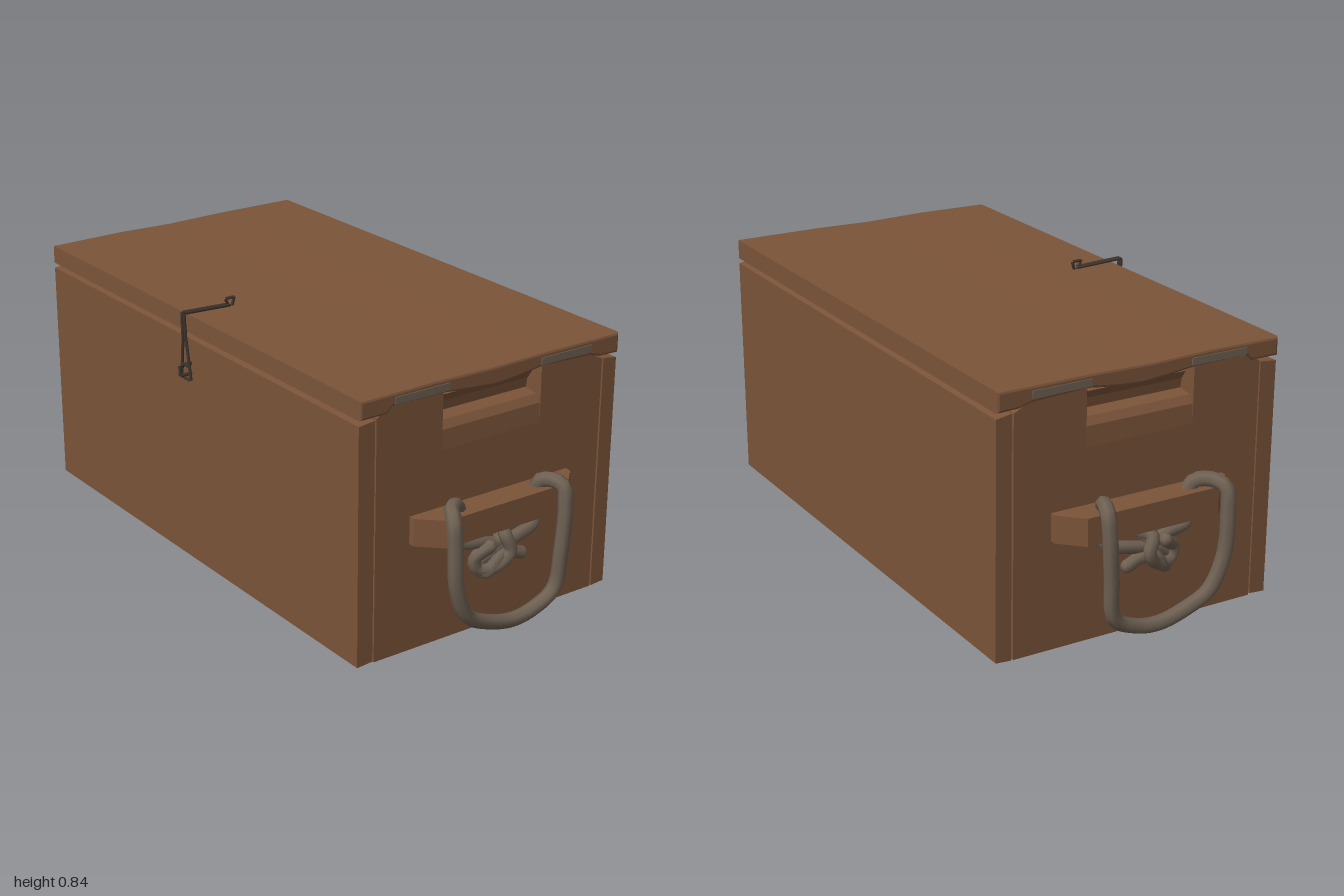
import * as THREE from 'three';

const mat = (name, color, side = THREE.FrontSide) => {
  const m = new THREE.MeshStandardMaterial({ color, side });
  m.name = name;
  return m;
};

// Extrude a (z, y) outline along x, centred on x = cx.
function extrudeX(points, width, cx = 0, bevel = 0) {
  const shape = new THREE.Shape(points.map(([z, y]) => new THREE.Vector2(z, y)));
  const geo = new THREE.ExtrudeGeometry(shape, {
    depth: width - 2 * bevel, bevelEnabled: bevel > 0, bevelSize: bevel,
    bevelOffset: -bevel, bevelThickness: bevel, bevelSegments: 2,
  });
  geo.rotateY(-Math.PI / 2);
  geo.translate(cx + width / 2 - bevel, 0, 0);
  return geo;
}

export function createModel() {
  const root = new THREE.Group();
  root.name = 'chest';
  const wood = mat('brown wood', 0x7b5439, THREE.DoubleSide);
  const rope = mat('grey rope', 0x6f6153);
  const metal = mat('dark metal', 0x40362e);

  const add = (parent, name, geo, material) => {
    const mesh = new THREE.Mesh(geo, material);
    mesh.name = name;
    parent.add(mesh);
    return mesh;
  };

  // A smooth tube through the points, with rounded ends.
  const cord = (parent, name, pts, r, material, sides = 7) => {
    const v = pts.map(p => new THREE.Vector3(...p));
    const curve = new THREE.CatmullRomCurve3(v, false, 'centripetal');
    add(parent, name, new THREE.TubeGeometry(curve, pts.length * 4, r, sides), material);
    for (const p of [v[0], v[v.length - 1]]) {
      const cap = new THREE.SphereGeometry(r, sides, 5);
      cap.translate(p.x, p.y, p.z);
      add(parent, name + 'Cap', cap, material);
    }
  };

  // A straight-sided wire made of short rods.
  const wire = (parent, name, pts, r = 0.005) => {
    const path = new THREE.CurvePath();
    const v = pts.map(p => new THREE.Vector3(...p));
    for (let i = 1; i < v.length; i++) path.add(new THREE.LineCurve3(v[i - 1], v[i]));
    for (const line of path.curves) add(parent, name, new THREE.TubeGeometry(line, 1, r, 5), metal);
  };

  // Front and back boards, slightly tapered
  add(root, 'frontBoard', extrudeX([[0.395, 0.007], [0.448, 0.003], [0.45, 0.74], [0.395, 0.746]], 1.7), wood);
  add(root, 'backBoard', extrudeX([[-0.44, 0.003], [-0.44, 0.746], [-0.49, 0.738], [-0.49, 0.007]], 1.7), wood);

  // Floor, set just above the lower rim
  const floor = new THREE.BoxGeometry(1.62, 0.03, 0.83);
  floor.translate(0, 0.03, -0.022);
  add(root, 'floor', floor, wood);

  // Lid with a wavy underside
  const lid = [[0.45, 0.757], [0.45, 0.815], [0.2, 0.818], [0, 0.814], [-0.2, 0.818], [-0.49, 0.818],
    [-0.49, 0.755], [-0.42, 0.757], [-0.38, 0.768], [-0.2, 0.775], [-0.1, 0.762], [-0.02, 0.757],
    [0.06, 0.763], [0.16, 0.774], [0.34, 0.775], [0.36, 0.757]];
  add(root, 'lid', extrudeX(lid, 1.716, 0, 0.008), wood);

  for (const s of [1, -1]) {
    const end = new THREE.Group();
    end.name = s > 0 ? 'leftEnd' : 'rightEnd';
    root.add(end);

    // End board with a notch under the lid
    const board = [[0.39, 0.003], [0.39, 0.75], [0.35, 0.774], [0.16, 0.774], [0.16, 0.6],
      [-0.2, 0.6], [-0.2, 0.774], [-0.38, 0.772], [-0.434, 0.745], [-0.434, 0.003]];
    add(end, 'endBoard', extrudeX(board, 0.05, s * 0.825), wood);

    // Hand hold dented inward within the notch
    const dent = [[0.85, 0.6], [0.846, 0.66], [0.83, 0.683], [0.785, 0.69], [0.79, 0.72], [0.81, 0.748],
      [0.775, 0.748], [0.75, 0.69], [0.8, 0.6]];
    const dentShape = new THREE.Shape(dent.map(([x, y]) => new THREE.Vector2(s * x, y)));
    const dentGeo = new THREE.ExtrudeGeometry(dentShape, { depth: 0.36, bevelEnabled: false });
    dentGeo.translate(0, 0, -0.2);
    add(end, 'handHold', dentGeo, wood);

    // Cleat with slanted ends
    const cleat = [[0.845, 0.27], [0.87, 0.27], [0.935, 0.2], [0.935, -0.245], [0.87, -0.312], [0.845, -0.312]];
    const cleatShape = new THREE.Shape(cleat.map(([x, z]) => new THREE.Vector2(s * x, -z)));
    const cleatGeo = new THREE.ExtrudeGeometry(cleatShape, { depth: 0.085, bevelEnabled: false });
    cleatGeo.rotateX(-Math.PI / 2);
    cleatGeo.translate(0, 0.342, 0);
    add(end, 'cleat', cleatGeo, wood);

    // Rope handle over the cleat, hanging as a loop
    const side = pts => pts.map(([x, y, z]) => [s * x, y, z]);
    cord(end, 'ropeHandle', side([[0.885, 0.41, 0.12], [0.895, 0.445, 0.14], [0.925, 0.452, 0.18],
      [0.965, 0.435, 0.203], [0.975, 0.36, 0.205], [0.975, 0.23, 0.195], [0.97, 0.13, 0.15],
      [0.966, 0.09, 0.08], [0.966, 0.065, -0.02], [0.966, 0.075, -0.1], [0.97, 0.12, -0.175],
      [0.977, 0.25, -0.192], [0.977, 0.38, -0.2], [0.965, 0.44, -0.2], [0.925, 0.452, -0.185],
      [0.895, 0.44, -0.17], [0.885, 0.41, -0.165]]), 0.023, rope);

    // Knotted rope ends under the cleat
    cord(end, 'ropeKnot', side([[0.885, 0.35, 0.13], [0.89, 0.32, 0.12], [0.895, 0.305, 0.05],
      [0.9, 0.29, -0.01], [0.895, 0.325, -0.035], [0.925, 0.32, -0.02], [0.935, 0.27, -0.035],
      [0.92, 0.225, 0.01], [0.9, 0.225, 0.06], [0.9, 0.26, 0.07], [0.92, 0.295, 0.03]]), 0.02, rope);
    cord(end, 'ropeKnot', side([[0.885, 0.35, -0.165], [0.89, 0.31, -0.155], [0.9, 0.29, -0.08],
      [0.9, 0.27, 0], [0.89, 0.23, 0.055], [0.91, 0.21, 0.035], [0.92, 0.255, -0.01],
      [0.91, 0.255, -0.05], [0.91, 0.238, -0.095]]), 0.02, rope);

    // Worn strips on the lid edge
    for (const z of [0.24, -0.285]) {
      const strip = new THREE.BoxGeometry(0.004, 0.022, 0.19);
      strip.translate(s * 0.859, 0.792, z);
      add(end, 'wornStrip', strip, rope);
    }
  }

  // Wire hasp: strap over the lid, hanging loop and staple
  const hasp = new THREE.Group();
  hasp.name = 'hasp';
  root.add(hasp);
  for (const s of [1, -1]) {
    wire(hasp, 'haspWire', [[s * 0.006, 0.822, 0.31], [s * 0.006, 0.828, 0.475],
      [s * 0.008, 0.75, 0.472], [s * 0.026, 0.617, 0.468]]);
  }
  wire(hasp, 'haspBar', [[-0.026, 0.617, 0.468], [0.026, 0.617, 0.468]]);
  wire(hasp, 'haspBar', [[-0.02, 0.66, 0.47], [0.02, 0.66, 0.47]]);
  wire(hasp, 'haspStaple', [[0, 0.814, 0.31], [0, 0.843, 0.325], [0, 0.843, 0.292], [0, 0.814, 0.3]]);
  wire(hasp, 'lockStaple', [[0, 0.663, 0.445], [0, 0.663, 0.49], [0, 0.63, 0.49], [0, 0.63, 0.445]], 0.006);

  return root;
}
